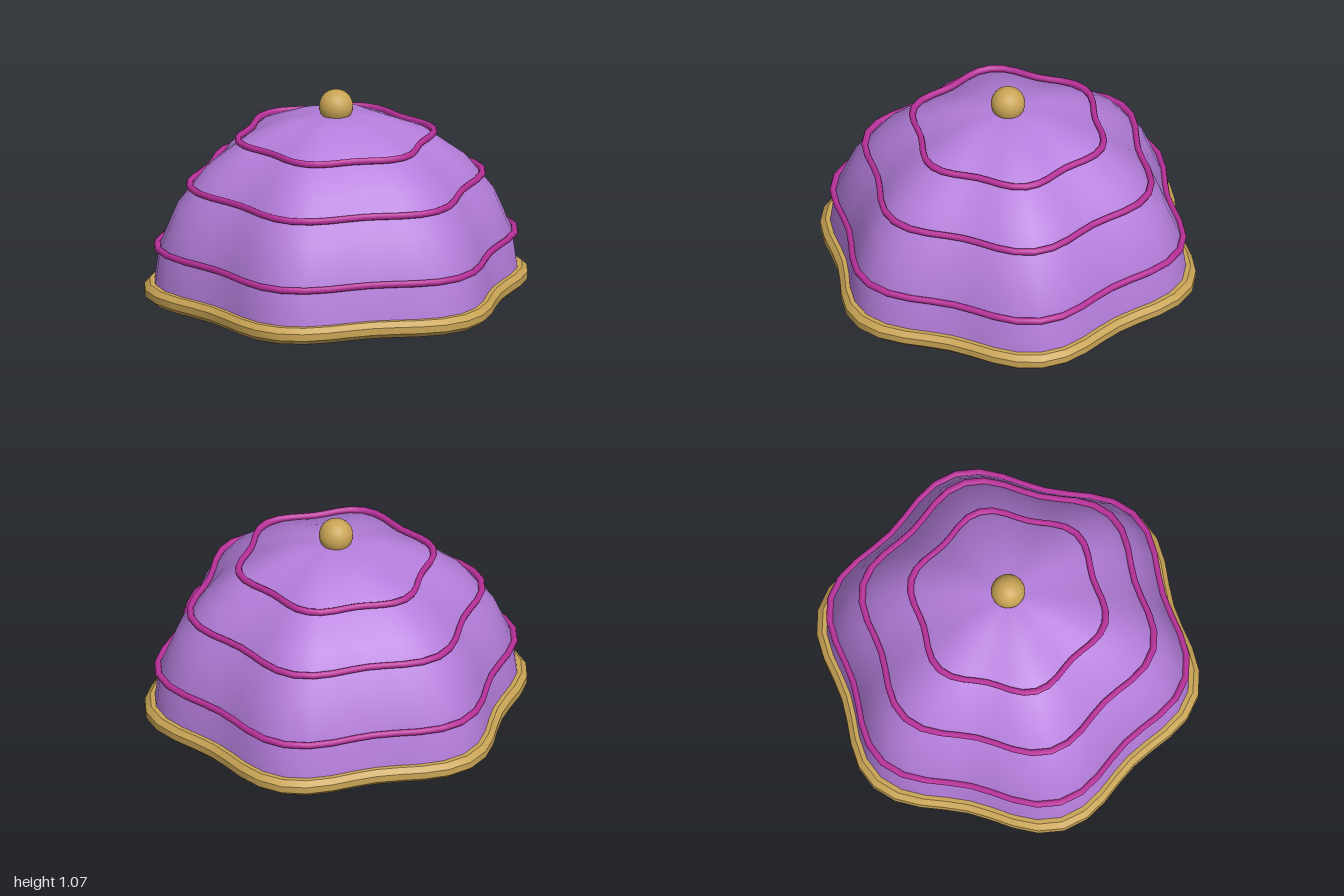
import * as THREE from 'three';
import { mergeVertices, toCreasedNormals } from 'three/addons/utils/BufferGeometryUtils.js';

const SEGMENTS = 48;

// six-lobed outline: 1 at the lobe tips, about 0.89 in the valleys
const lobe = (angle) => (1 + 0.06 * Math.cos(6 * angle)) / 1.06;

// revolve a [radius, height] profile, then pull it into the lobed outline
function lobedLathe(profile, crease) {
  const lathe = new THREE.LatheGeometry(profile.map(([r, y]) => new THREE.Vector2(r, y)), SEGMENTS);
  const pos = lathe.attributes.position;
  for (let i = 0; i < pos.count; i++) {
    const x = pos.getX(i), z = pos.getZ(i);
    const s = lobe(Math.atan2(z, x));
    pos.setXYZ(i, x * s, pos.getY(i), z * s);
  }
  lathe.deleteAttribute('uv');
  lathe.deleteAttribute('normal');
  const geometry = mergeVertices(lathe, 1e-5);
  geometry.computeVertexNormals();
  return crease ? toCreasedNormals(geometry, crease) : geometry;
}

export function createModel() {
  const group = new THREE.Group();
  const material = (name, color) => {
    const m = new THREE.MeshStandardMaterial({ color });
    m.name = name;
    return m;
  };
  const purple = material('purple', 0xb57edc);
  const magenta = material('magenta', 0xb8309a);
  const gold = material('gold', 0xc9a455);

  const add = (name, geometry, mat) => {
    const mesh = new THREE.Mesh(geometry, mat);
    mesh.name = name;
    group.add(mesh);
    return mesh;
  };

  // dome shell, a quarter ellipse in 15 degree steps
  const domeProfile = [];
  for (let i = 0; i <= 6; i++) {
    const t = (i * Math.PI) / 12;
    domeProfile.push([i === 6 ? 0 : 0.955 * Math.cos(t), 0.03 + 0.92 * Math.sin(t)]);
  }
  add('dome', lobedLathe(domeProfile), purple);

  // flat underside
  add('base', lobedLathe([[0, 0], [0.972, 0]]), purple);

  // bevelled rim around the foot
  add('rim', lobedLathe([
    [0.91, 0.003], [0.972, 0.003], [1, 0.028], [1, 0.064], [0.972, 0.09], [0.91, 0.09],
  ], 0.6), gold);

  // piping bands around the dome
  const bands = [[0.932, 0.277], [0.763, 0.596], [0.51, 0.825]];
  bands.forEach(([radius, height], n) => {
    const profile = [];
    for (let i = 0; i <= 8; i++) {
      const t = ((i % 8) * Math.PI) / 4;
      profile.push([radius + 0.018 * Math.cos(t), height + 0.018 * Math.sin(t)]);
    }
    add(`band${n + 1}`, lobedLathe(profile), magenta);
  });

  // ball finial
  add('finial', new THREE.SphereGeometry(0.088, 24, 16), gold).position.y = 0.982;

  return group;
}
